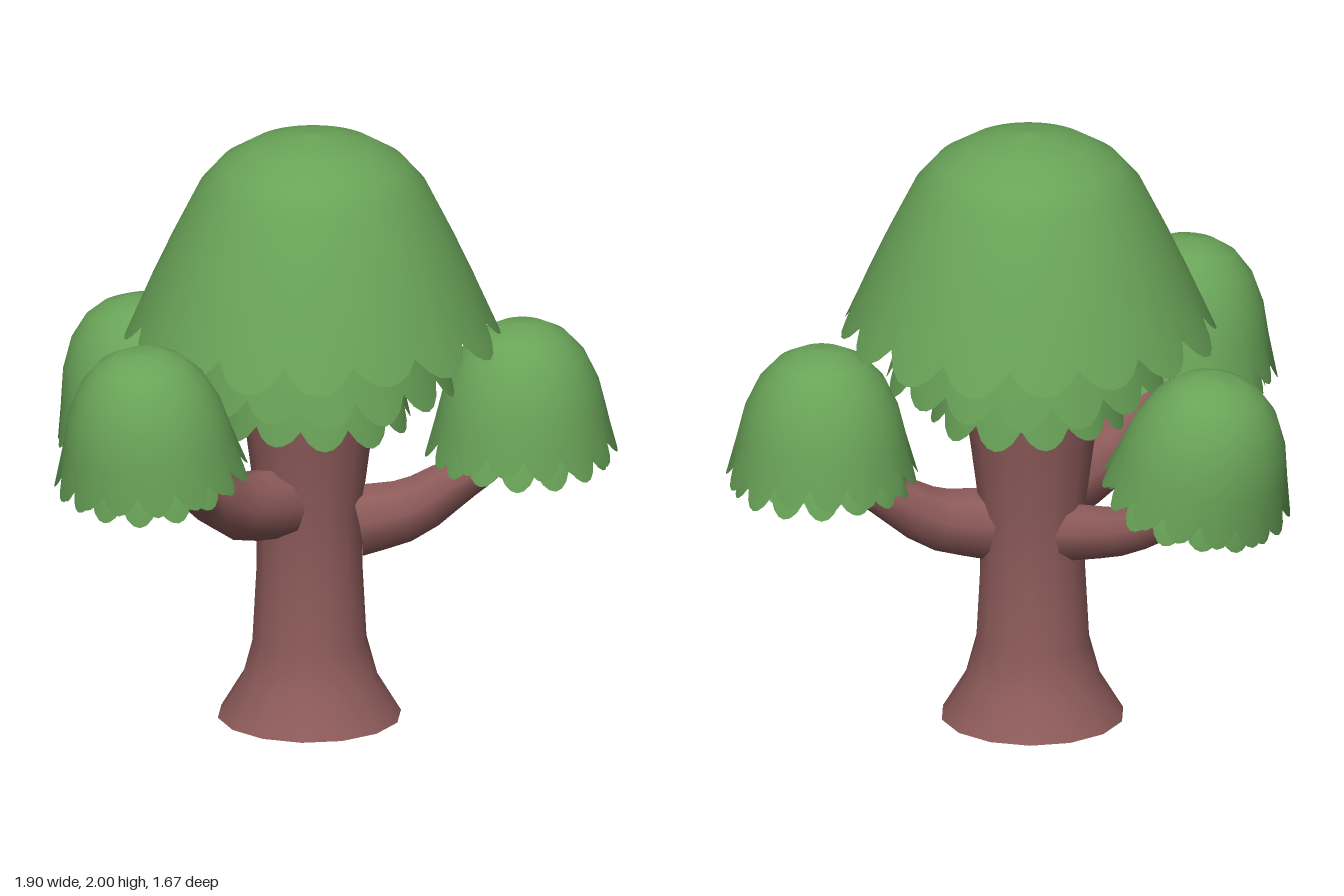
import * as THREE from 'three';

const bark = new THREE.MeshStandardMaterial({ color: 0x8d5b5a, side: THREE.DoubleSide });
bark.name = 'bark brown';
const leaf = new THREE.MeshStandardMaterial({ color: 0x69a358, side: THREE.DoubleSide });
leaf.name = 'leaf green';

const toPoints = (list) => list.map(([r, y]) => new THREE.Vector2(r, y));

function add(parent, geometry, material, name) {
  const mesh = new THREE.Mesh(geometry, material);
  mesh.name = name;
  parent.add(mesh);
  return mesh;
}

// Open dome, profile listed rim to apex, with a hem of rounded leaf lobes
function leafLayer(profile, lobes, depth, flare, phase) {
  const steps = 6;
  const g = new THREE.LatheGeometry(toPoints(profile), lobes * steps);
  const p = g.attributes.position;
  for (let i = 0; i <= lobes * steps; i++) {
    const k = i * profile.length;
    const lobe = Math.floor((i % (lobes * steps)) / steps);
    const uneven = 0.85 + 0.3 * Math.abs(Math.sin(lobe * 2.4 + phase * 5));
    const s = Math.pow(Math.abs(Math.sin((i / steps) * Math.PI)), 0.8) * uneven;
    const grow = 1 + flare * s;
    p.setXYZ(k, p.getX(k) * grow, p.getY(k) - depth * s, p.getZ(k) * grow);
  }
  g.rotateY(phase);
  return g;
}

// Tube whose radius follows a list of values along its path
function taperedBranch(path, radii) {
  const curve = new THREE.CatmullRomCurve3(path.map((a) => new THREE.Vector3(...a)));
  const seg = 8, sides = 9;
  const g = new THREE.TubeGeometry(curve, seg, 1, sides);
  const p = g.attributes.position;
  const v = new THREE.Vector3();
  for (let i = 0; i <= seg; i++) {
    const c = curve.getPointAt(i / seg);
    const t = (i / seg) * (radii.length - 1);
    const a = Math.min(Math.floor(t), radii.length - 2);
    const r = THREE.MathUtils.lerp(radii[a], radii[a + 1], t - a);
    for (let j = 0; j <= sides; j++) {
      const k = i * (sides + 1) + j;
      v.fromBufferAttribute(p, k).sub(c).multiplyScalar(r).add(c);
      p.setXYZ(k, v.x, v.y, v.z);
    }
  }
  return g;
}

export function createModel() {
  const tree = new THREE.Group();
  tree.name = 'tree';

  // Trunk, flared at the foot and under the crown
  const trunk = add(tree, new THREE.LatheGeometry(toPoints([
    [0.3, 0], [0.222, 0.13], [0.187, 0.26], [0.174, 0.5], [0.172, 0.7],
    [0.205, 0.95], [0.225, 1.08], [0.235, 1.2],
  ]), 14), bark, 'trunk');
  trunk.position.set(0.095, 0, 0.085);

  // Three branches
  const branches = [
    ['rightBranch', [[0.04, 0.745, 0.08], [-0.1, 0.765, 0.08], [-0.25, 0.79, 0.08], [-0.4, 0.88, 0.08], [-0.52, 0.94, 0.08], [-0.65, 1.04, 0.08]],
      [0.115, 0.12, 0.105, 0.085, 0.065, 0.02]],
    ['leftBranch', [[0.195, 0.665, 0.195], [0.33, 0.695, 0.3], [0.44, 0.775, 0.39], [0.54, 0.85, 0.48], [0.63, 0.93, 0.53]],
      [0.12, 0.105, 0.085, 0.06, 0.02]],
    ['backBranch', [[0.08, 0.65, 0], [0.06, 0.67, -0.12], [0.04, 0.705, -0.27], [0.01, 0.77, -0.42], [0, 0.82, -0.52], [-0.01, 0.91, -0.6]],
      [0.1, 0.09, 0.08, 0.065, 0.05, 0.015]],
  ];
  for (const [name, path, radii] of branches) add(tree, taperedBranch(path, radii), bark, name);

  // Main crown of three stacked leaf layers
  const crown = new THREE.Group();
  crown.name = 'crown';
  crown.position.set(0.075, 2, 0.12);
  tree.add(crown);
  add(crown, leafLayer([[0.57, -0.62], [0.525, -0.5], [0.46, -0.36], [0.37, -0.18],
    [0.3, -0.1], [0.2, -0.04], [0.1, -0.014], [0, 0]], 16, 0.075, 0.075, 0.2), leaf, 'crownTop');
  add(crown, leafLayer([[0.435, -0.79], [0.405, -0.66], [0.36, -0.5], [0.27, -0.36], [0.13, -0.28], [0, -0.26]],
    15, 0.07, 0.06, 0.35), leaf, 'crownMiddle');
  add(crown, leafLayer([[0.3, -0.925], [0.285, -0.82], [0.25, -0.68], [0.15, -0.57], [0, -0.53]],
    12, 0.06, 0.07, 0.1), leaf, 'crownBottom');

  // Smaller leaf clusters, tilted with their branches
  const clusters = [
    ['rightCluster', [-0.705, 1.425, 0.08], 0, 0.14],
    ['leftCluster', [0.635, 1.31, 0.525], 0, 0],
    ['backCluster', [-0.005, 1.295, -0.632], -0.25, 0],
  ];
  clusters.forEach(([name, at, tiltX, tiltZ], i) => {
    const cluster = new THREE.Group();
    cluster.name = name;
    cluster.position.set(...at);
    cluster.rotation.set(tiltX, 0, tiltZ);
    tree.add(cluster);
    add(cluster, leafLayer([[0.288, -0.385], [0.275, -0.3], [0.25, -0.2], [0.205, -0.105],
      [0.145, -0.04], [0.08, -0.008], [0, 0]], 15, 0.055, 0.095, 0.3 + i), leaf, 'outerLeaves');
    add(cluster, leafLayer([[0.262, -0.435], [0.245, -0.36], [0.2, -0.29], [0.1, -0.25], [0, -0.24]],
      14, 0.05, 0.08, 0.6 + i), leaf, 'middleLeaves');
    // Shallow underside closing the cluster
    add(cluster, leafLayer([[0.24, -0.42], [0.2, -0.405], [0.1, -0.395], [0, -0.39]],
      12, 0.035, 0.05, 0.9 + i), leaf, 'innerLeaves');
  });

  return tree;
}
